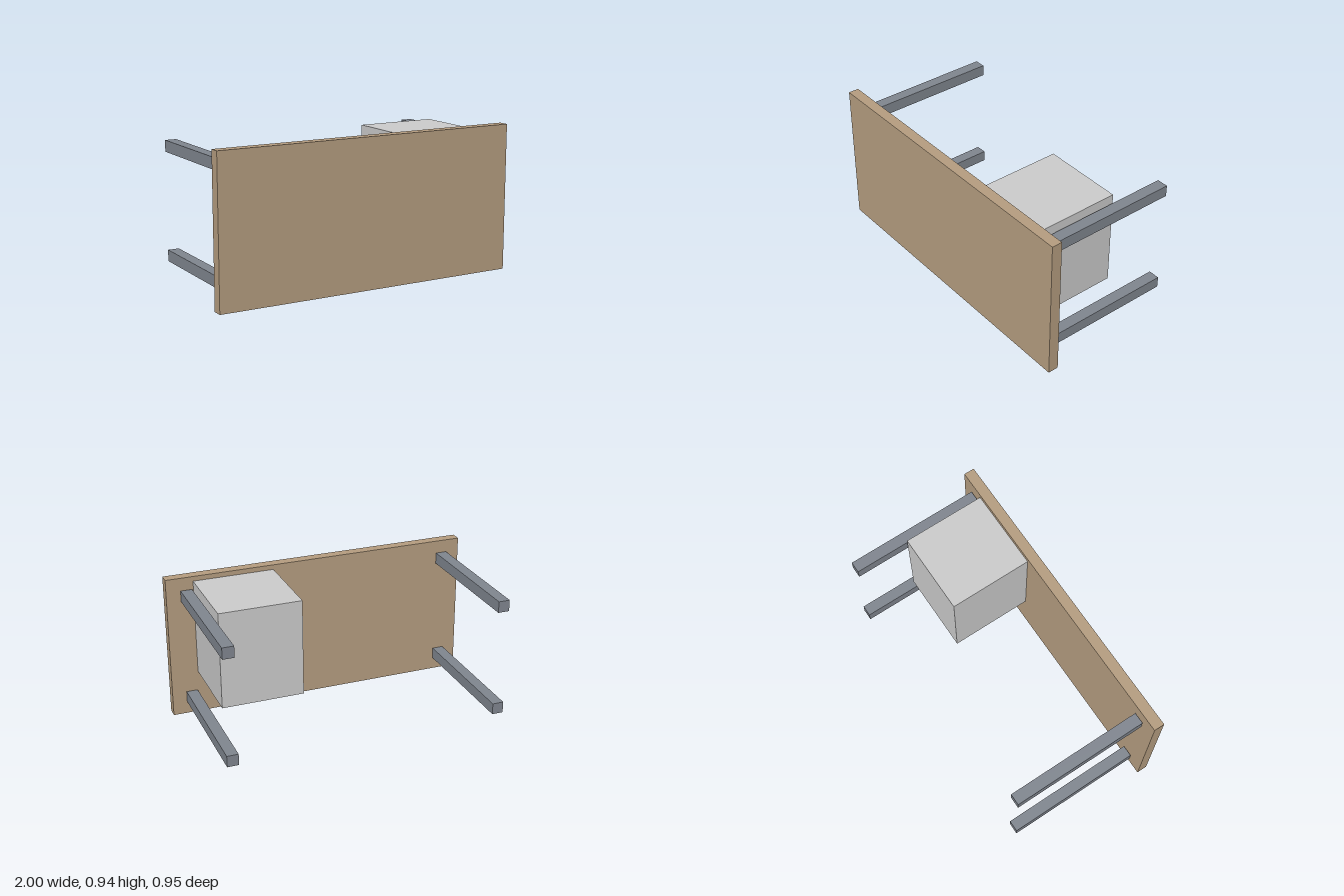
import * as THREE from 'three';

// Desk tipped on its long edge: the worktop faces +z, the legs point to -z.
export function createModel() {
  const desk = new THREE.Group();
  desk.name = 'tippedDesk';

  const wood = new THREE.MeshStandardMaterial({ color: 0xb59d80 });
  const steel = new THREE.MeshStandardMaterial({ color: 0x80868f });
  const dark = new THREE.MeshStandardMaterial({ color: 0x55575a });
  const grey = new THREE.MeshStandardMaterial({ color: 0xcccccc });

  // Box given by its lowest and highest corner
  const addBox = (name, material, min, max) => {
    const size = max.map((v, i) => v - min[i]);
    const mesh = new THREE.Mesh(new THREE.BoxGeometry(...size), material);
    mesh.position.set(...max.map((v, i) => (v + min[i]) / 2));
    mesh.name = name;
    desk.add(mesh);
  };

  // Worktop
  addBox('worktop', wood, [-1, 0, 0.409], [1, 0.938, 0.477]);

  // Four square legs, ending just short of the worktop
  const legWidth = 0.073;
  for (const [side, x] of [['Right', -0.873], ['Left', 0.873]]) {
    for (const [level, y] of [['lower', 0.121], ['upper', 0.821]]) {
      const h = legWidth / 2;
      addBox(`${level}${side}Leg`, steel, [x - h, y - h, -0.477], [x + h, y + h, 0.4]);
    }
  }

  // Drawer cabinet fixed under the worktop, with its pull panel on the lower face
  addBox('cabinet', grey, [0.3, 0.283, -0.126], [0.825, 0.907, 0.409]);
  addBox('drawerPull', dark, [0.333, 0.264, 0.15], [0.792, 0.283, 0.325]);

  return desk;
}
